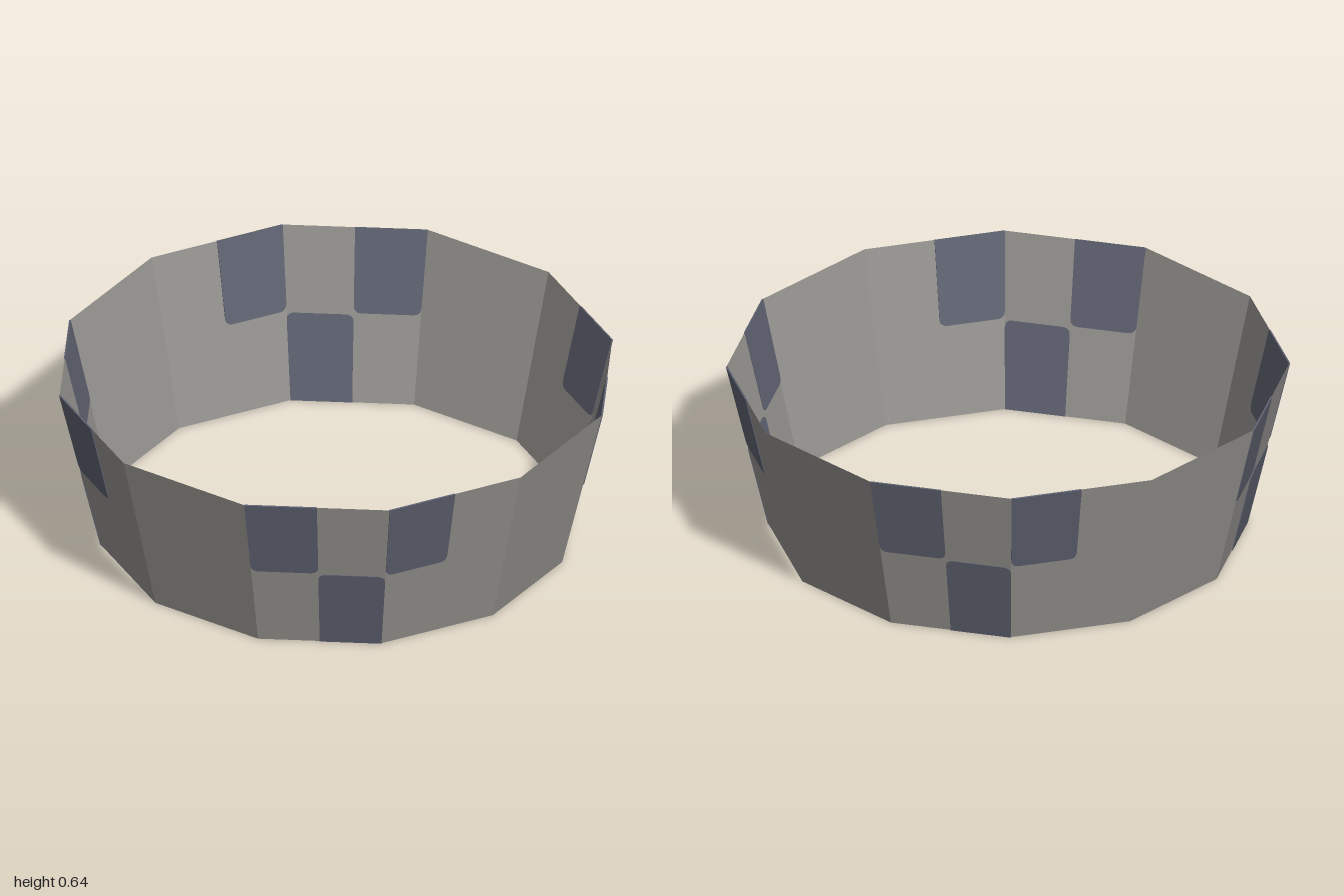
import * as THREE from 'three';

const SIDES = 12, TOP_R = 1, BOTTOM_R = 0.85, HEIGHT = 0.64, PLATE = 0.006;

// Rounded-corner half of a panel, in panel coordinates (0..1 across, 0..1 up)
function patchShape(u0, u1, top) {
  const ru = 0.06, rv = 0.045, edge = top ? 1 : 0, mid = top ? 0.51 : 0.5;
  const inner = top ? mid + rv : mid - rv;
  const s = new THREE.Shape();
  s.moveTo(u0, edge);
  s.lineTo(u0, inner);
  s.quadraticCurveTo(u0, mid, u0 + ru, mid);
  s.lineTo(u1 - ru, mid);
  s.quadraticCurveTo(u1, mid, u1, inner);
  s.lineTo(u1, edge);
  s.closePath();
  return s;
}

// Lays a thin plate on wall panel k, showing on both faces of the wall
function patchGeometry(k, shape) {
  const geo = new THREE.ExtrudeGeometry(shape, { depth: 1, bevelEnabled: false, curveSegments: 5 });
  const step = (Math.PI * 2) / SIDES;
  const corner = (i, v) => {
    const r = THREE.MathUtils.lerp(BOTTOM_R, TOP_R, v);
    return new THREE.Vector3(Math.sin(i * step) * r, v * HEIGHT, Math.cos(i * step) * r);
  };
  const across = corner(k + 1, 0).sub(corner(k, 0));
  const up = corner(k, 1).sub(corner(k, 0));
  const normal = across.cross(up).normalize();
  const pos = geo.attributes.position;
  for (let i = 0; i < pos.count; i++) {
    const u = pos.getX(i), v = pos.getY(i), w = pos.getZ(i) - 0.5;
    const p = corner(k, v).lerp(corner(k + 1, v), u).addScaledVector(normal, w * PLATE);
    pos.setXYZ(i, p.x, p.y, p.z);
  }
  geo.computeVertexNormals();
  return geo;
}

export function createModel() {
  const group = new THREE.Group();
  group.name = 'ring';
  const grey = new THREE.MeshStandardMaterial({ color: 0x94928e, side: THREE.DoubleSide });
  grey.name = 'warm grey';
  const slate = new THREE.MeshStandardMaterial({ color: 0x5e6170 });
  slate.name = 'slate blue';

  // Open, flared twelve-sided wall
  const wallGeo = new THREE.CylinderGeometry(TOP_R, BOTTOM_R, HEIGHT, SIDES, 1, true).toNonIndexed();
  wallGeo.computeVertexNormals();
  const wall = new THREE.Mesh(wallGeo, grey);
  wall.name = 'wall';
  wall.position.y = HEIGHT / 2;
  group.add(wall);

  // Checker cluster of three patches, repeated every quarter turn
  const upper = patchShape(0, 0.5, true), lower = patchShape(0.5, 1, false);
  for (let q = 0; q < 4; q++) {
    const cluster = new THREE.Group();
    cluster.name = 'checkerCluster';
    const k = q * 3 + 1;
    const parts = [['firstUpperPatch', k, upper], ['lowerPatch', k, lower], ['secondUpperPatch', k + 1, upper]];
    for (const [name, panel, shape] of parts) {
      const mesh = new THREE.Mesh(patchGeometry(panel, shape), slate);
      mesh.name = name;
      cluster.add(mesh);
    }
    group.add(cluster);
  }
  return group;
}
